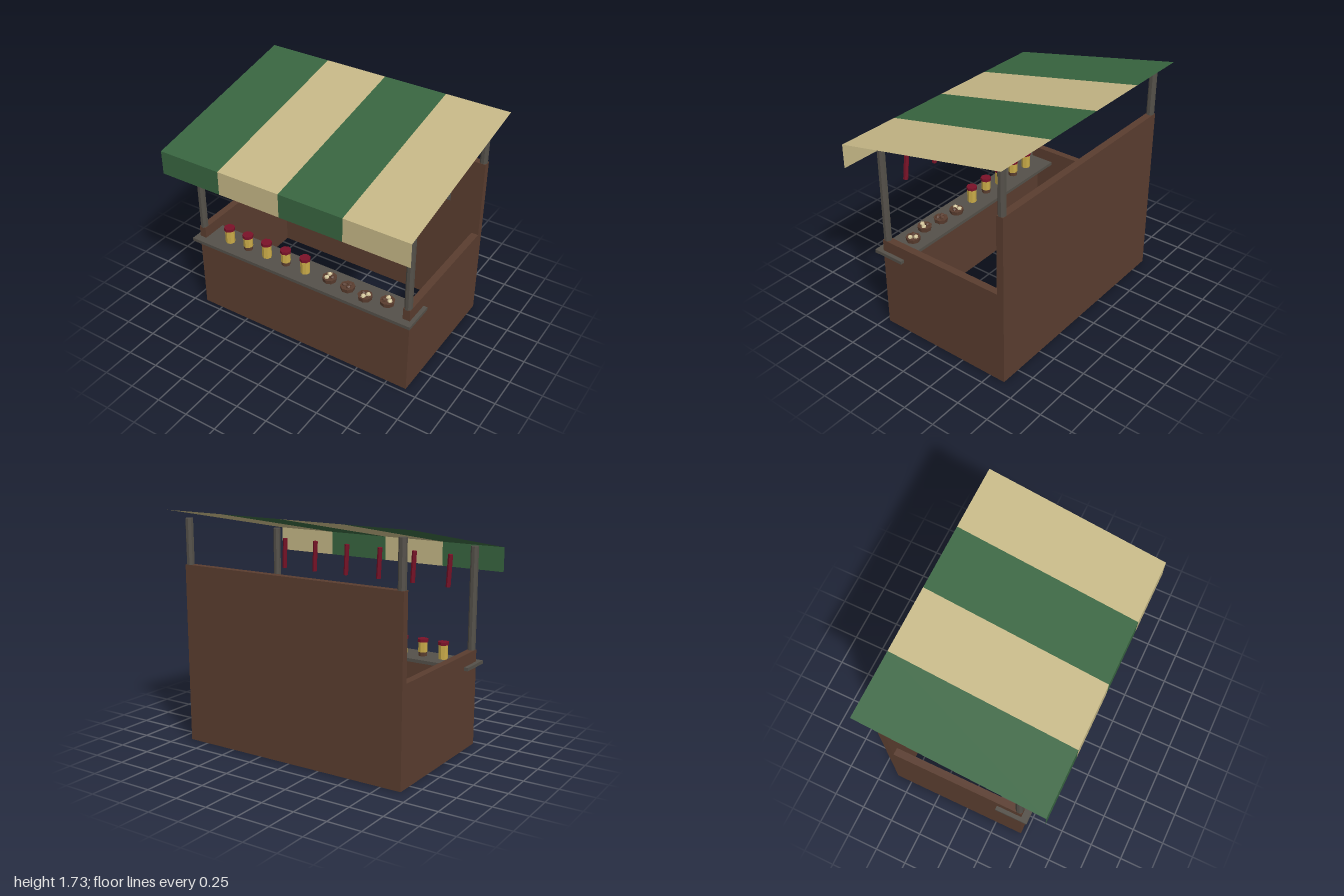
import * as THREE from 'three';

function material(name, color, extra = {}) {
  const m = new THREE.MeshStandardMaterial({ color, flatShading: true, ...extra });
  m.name = name;
  return m;
}

export function createModel() {
  const wood = material('brown wood', 0x5a3d2f);
  const metal = material('grey timber', 0x545049);
  const green = material('green cloth', 0x386540, { side: THREE.DoubleSide });
  const beige = material('beige cloth', 0xc5b786, { side: THREE.DoubleSide });
  const red = material('dark red', 0x7a1228);
  const yellow = material('yellow preserve', 0xc8aa48);
  const cream = material('cream food', 0xd2c49a);
  const slate = material('slate grey', 0x545250);

  const model = new THREE.Group();
  model.name = 'marketStall';

  function add(name, geometry, mat, x = 0, y = 0, z = 0, parent = model) {
    const mesh = new THREE.Mesh(geometry, mat);
    mesh.name = name;
    mesh.position.set(x, y, z);
    parent.add(mesh);
    return mesh;
  }
  // Box given by its minimum and maximum on each axis
  const box = (name, mat, x0, x1, y0, y1, z0, z1) =>
    add(name, new THREE.BoxGeometry(x1 - x0, y1 - y0, z1 - z0), mat,
      (x0 + x1) / 2, (y0 + y1) / 2, (z0 + z1) / 2);

  // Open-bottomed booth walls and counter
  const W = 0.905, T = 0.055;
  box('backWall', wood, -W, W, 0, 1.335, -0.62, -0.565);
  box('frontWall', wood, -W + T, W - T, 0, 0.612, 0.41, 0.465);
  box('leftWall', wood, W - T, W, 0, 0.725, -0.565, 0.465);
  box('rightWall', wood, -W, -W + T, 0, 0.725, -0.565, 0.465);
  box('counter', metal, -0.935, 0.935, 0.61, 0.635, 0.27, 0.52);

  // Corner posts carrying the awning
  for (const side of [-1, 1]) {
    for (const [name, z, y0, y1] of [['frontPost', 0.44, 0.72, 1.485], ['backPost', -0.593, 1.33, 1.67]]) {
      const post = new THREE.CylinderGeometry(0.029, 0.029, y1 - y0, 8);
      post.rotateY(Math.PI / 8);
      add(name, post, metal, side * 0.878, (y0 + y1) / 2, z);
    }
  }

  // Striped awning: sloping roof cloth with a hanging front flap
  const awning = new THREE.Group();
  awning.name = 'awning';
  model.add(awning);
  const backY = 1.73, foldY = 1.455, hemY = 1.272, backZ = -0.685, frontZ = 0.68;
  const run = frontZ - backZ, drop = backY - foldY;
  for (let i = 0; i < 4; i++) {
    const mat = i % 2 ? beige : green, x = -0.75 + i * 0.5;
    const roof = new THREE.PlaneGeometry(0.5, Math.hypot(run, drop));
    roof.rotateX(-Math.PI / 2 + Math.atan2(drop, run));
    add('roofStripe', roof, mat, x, (backY + foldY) / 2, (backZ + frontZ) / 2, awning);
    add('flapStripe', new THREE.PlaneGeometry(0.5, foldY - hemY), mat,
      x, (foldY + hemY) / 2, frontZ, awning);
  }

  // Thin board hung under the roof, facing the front
  add('hangingBoard', new THREE.PlaneGeometry(1.76, 0.25), slate, 0, 1.425, -0.08);

  // Hanging sausages
  for (let i = 0; i < 6; i++) {
    const s = add('sausage', new THREE.CylinderGeometry(0.018, 0.018, 0.24, 6), red,
      -0.725 + i * 0.292, 1.305, 0.353);
    s.rotation.set(-0.05, 0, 0.08);
  }

  // Preserve jars; every second one is darker at the bottom
  for (let i = 0; i < 5; i++) {
    const jar = new THREE.Group();
    jar.name = 'jar';
    jar.position.set(-0.67 + i * 0.17, 0.635, 0.4);
    model.add(jar);
    const base = i % 2 ? 0.03 : 0;
    if (base) add('jarBase', new THREE.CylinderGeometry(0.034, 0.034, base, 8), wood, 0, base / 2, 0, jar);
    add('jarBody', new THREE.CylinderGeometry(0.036, 0.036, 0.107 - base, 8), yellow,
      0, (0.107 + base) / 2, 0, jar);
    add('jarLid', new THREE.CylinderGeometry(0.041, 0.041, 0.023, 8), red, 0, 0.1185, 0, jar);
  }

  // Small bowls of food
  [[0.21, 0.385], [0.37, 0.4], [0.525, 0.42], [0.685, 0.385]].forEach(([x, z], i) => {
    const bowl = new THREE.Group();
    bowl.name = 'bowl';
    bowl.position.set(x, 0.635, z);
    bowl.rotation.y = i * 1.3;
    model.add(bowl);
    add('bowlBody', new THREE.CylinderGeometry(0.055, 0.05, 0.032, 8), wood, 0, 0.016, 0, bowl);
    for (let k = 0; k < 3; k++) {
      const a = k * Math.PI * 2 / 3;
      const bit = add('foodPiece', new THREE.IcosahedronGeometry(0.02, 0), k === 0 || i === 1 ? wood : cream,
        0.023 * Math.cos(a), 0.035, 0.023 * Math.sin(a), bowl);
      bit.rotation.set(k, i, 0);
    }
  });

  return model;
}
